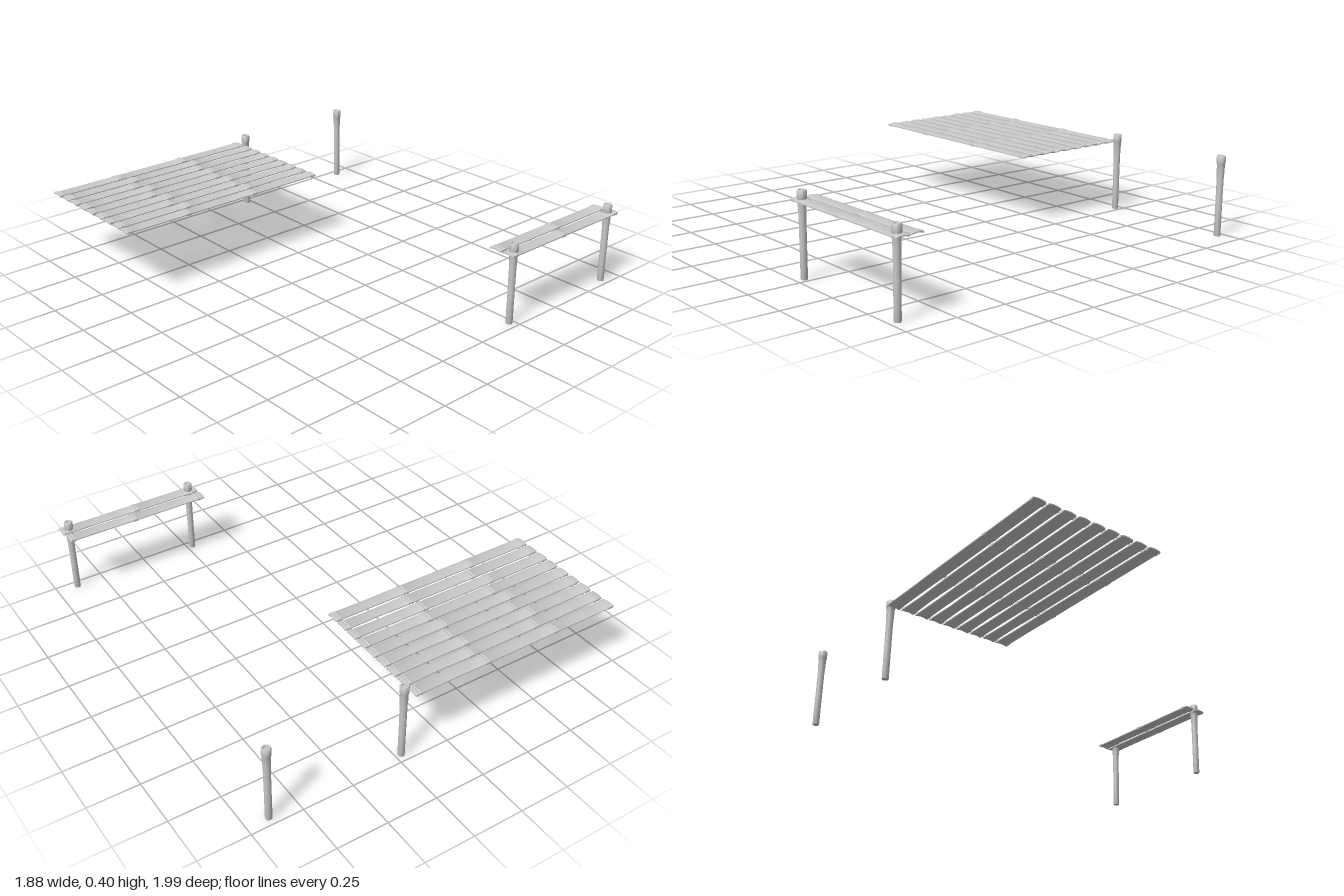
import * as THREE from 'three';
import { toCreasedNormals } from 'three/addons/utils/BufferGeometryUtils.js';

const material = new THREE.MeshStandardMaterial({ color: 0xc8c8c8 });
material.name = 'pale grey bamboo';

// Closed shell lofted along x. Each station: [x, halfWidth, base, thickness]
function loftPlank(stations) {
  const N = 9, crown = 0.005, pos = [], idx = [];
  for (const [x, w, base, t] of stations) {
    for (let k = 0; k < 2 * N; k++) {
      const top = k < N;
      const u = ((top ? k : 2 * N - 1 - k) / (N - 1)) * 2 - 1;
      pos.push(x, base + crown * (1 - u * u) + (top ? t : 0), u * w);
    }
  }
  const R = 2 * N;
  const quad = (a, b, c, d) => idx.push(a, b, c, a, c, d);
  for (let i = 0; i < stations.length - 1; i++) {
    for (let j = 0; j < R; j++) {
      const k = (j + 1) % R;
      quad(i * R + j, i * R + k, (i + 1) * R + k, (i + 1) * R + j);
    }
  }
  // end faces, strip between the top and bottom arcs
  const last = (stations.length - 1) * R;
  for (let j = 0; j < N - 1; j++) {
    const q = [j, j + 1, R - 2 - j, R - 1 - j];
    quad(...q.map((v) => v + last));
    quad(...q.reverse());
  }
  const g = new THREE.BufferGeometry();
  g.setAttribute('position', new THREE.Float32BufferAttribute(pos, 3));
  g.setIndex(idx);
  return toCreasedNormals(g, 0.7);
}

// Bamboo slat: thin between its nodes, with a double ridge at each node
function makeSlat(name, x0, x1, nodes, z, waist) {
  const thin = (x, w) => [x, w, 0.347, 0.005];
  const ridge = (x) => [x, 0.0325, 0.344, 0.0115];
  const st = [thin(x0, 0.031)];
  nodes.forEach((n, i) => {
    st.push(thin(n - 0.016, 0.0315), ridge(n - 0.009), ridge(n - 0.006));
    st.push([n, 0.031, 0.346, 0.007]);
    st.push(ridge(n + 0.006), ridge(n + 0.009), thin(n + 0.016, 0.0315));
    if (i < nodes.length - 1) {
      const w = i === nodes.length - 2 ? waist : 0.0315;
      const gap = nodes[i + 1] - n;
      st.push(thin(n + gap * 0.3, (w + 0.0315) / 2), thin(n + gap * 0.55, w));
    }
  });
  st.push(thin(x1, 0.031));
  const mesh = new THREE.Mesh(loftPlank(st), material);
  mesh.name = name;
  mesh.position.z = z;
  return mesh;
}

function makePost(geometry, x, z) {
  const mesh = new THREE.Mesh(geometry, material);
  mesh.name = 'post';
  mesh.position.set(x, 0, z);
  return mesh;
}

export function createModel() {
  const model = new THREE.Group();
  model.name = 'bambooPlatforms';

  // Large deck: nine slats with staggered nodes
  const deck = new THREE.Group();
  deck.name = 'deck';
  for (let i = 0; i < 9; i++) {
    const odd = i % 2 === 1;
    const nodes = odd ? [-0.91, -0.545, -0.175, 0.168] : [-0.922, -0.595, -0.203, 0.17];
    deck.add(makeSlat('deckSlat', -0.94, 0.19, nodes, -0.967 + i * 0.0752, odd ? 0.028 : 0.03));
  }
  model.add(deck);

  // Narrow walkway: two slats
  const walkway = new THREE.Group();
  walkway.name = 'walkway';
  walkway.add(makeSlat('walkwaySlat', 0.18, 0.93, [0.205, 0.575, 0.912], 0.887, 0.0305));
  walkway.add(makeSlat('walkwaySlat', 0.18, 0.937, [0.2, 0.53, 0.915], 0.962, 0.0305));
  model.add(walkway);

  // Posts: bamboo poles with a flared, slightly hollow top
  const profile = [
    [0, 0], [0.015, 0], [0.016, 0.004], [0.016, 0.15], [0.0165, 0.28], [0.0175, 0.305],
    [0.0185, 0.315], [0.0185, 0.352], [0.0215, 0.36], [0.0215, 0.392], [0.019, 0.397],
    [0.013, 0.397], [0.011, 0.39], [0, 0.39],
  ].map(([r, y]) => new THREE.Vector2(r, y));
  const postGeometry = toCreasedNormals(new THREE.LatheGeometry(profile, 20), 0.6);
  for (const x of [0.222, 0.894]) {
    for (const z of [-0.96, 0.96]) model.add(makePost(postGeometry, x, z));
  }
  return model;
}
